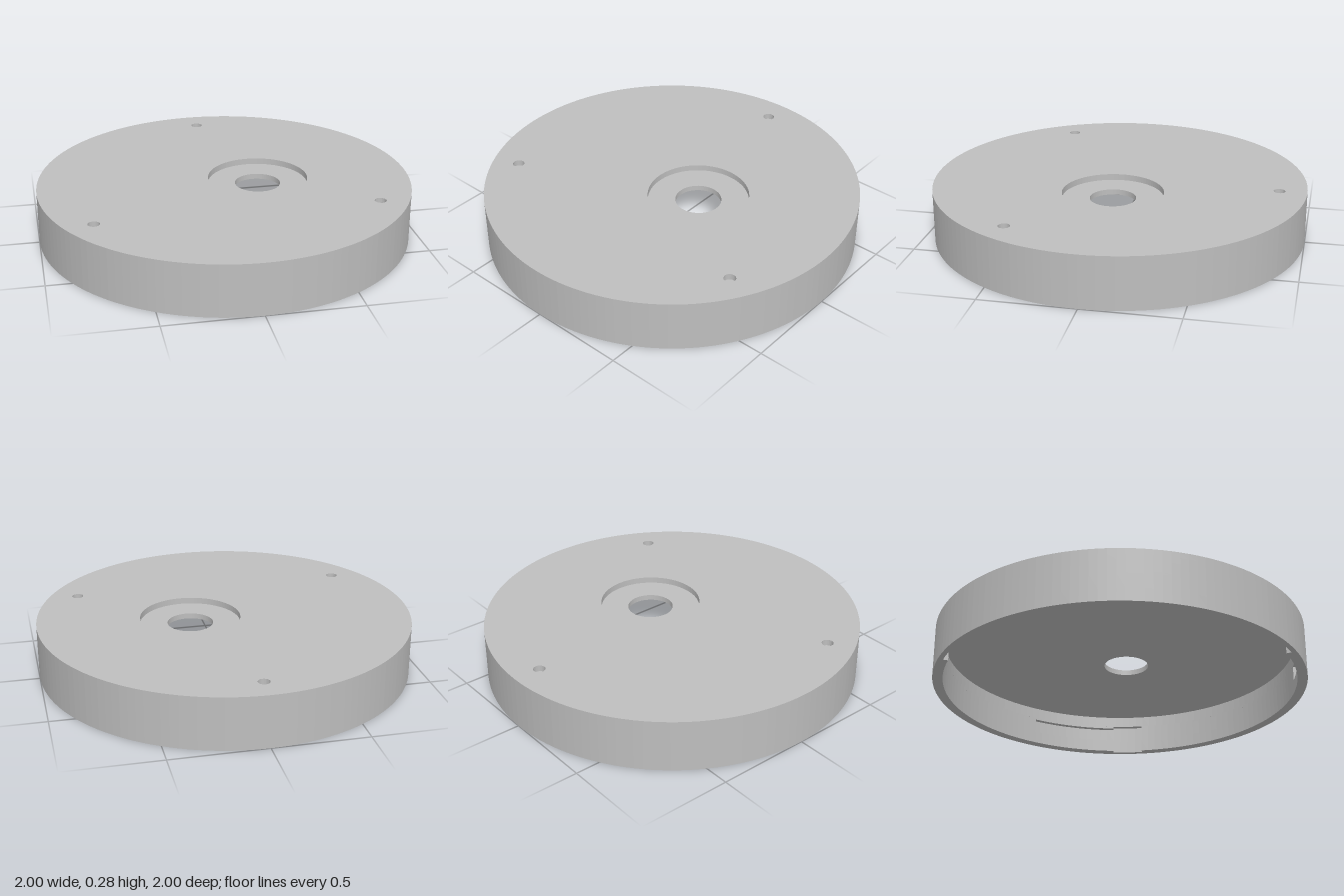
import * as THREE from 'three';

const OUTER = 1, INNER = 0.946, RECESS = 0.973;
const BORE_X = 0.185;
const rad = THREE.MathUtils.degToRad;

// Point on a circle; angle in degrees from +z towards +x, in the plan's own axes
const polar = (r, deg, cx = 0) => new THREE.Vector2(cx + r * Math.sin(rad(deg)), -r * Math.cos(rad(deg)));

// Points along an arc, both ends included
function arc(r, from, to, step = 2.5, cx = 0) {
  const n = Math.max(1, Math.round((to - from) / step));
  return Array.from({ length: n + 1 }, (_, i) => polar(r, from + ((to - from) * i) / n, cx));
}

const circle = (r, step = 2.5, cx = 0) => arc(r, 0, 360, step, cx).slice(0, -1);

// Inner outline of the wall, with three equal recesses between the given angles
function recessedOutline(from, to) {
  const pts = [];
  for (let k = 0; k < 3; k++) {
    const a = 120 * k;
    pts.push(...arc(RECESS, a + from, a + to), ...arc(INNER, a + to, a + from + 120));
  }
  return pts;
}

export function createModel() {
  const group = new THREE.Group();
  const grey = new THREE.MeshStandardMaterial({ color: 0xbebebe });
  grey.name = 'grey';

  // One horizontal layer of the cap: a disc with holes, from height y0 to y1
  function layer(name, y0, y1, holes) {
    const shape = new THREE.Shape(circle(OUTER));
    for (const pts of holes) shape.holes.push(new THREE.Path(pts));
    const geo = new THREE.ExtrudeGeometry(shape, { depth: y1 - y0, bevelEnabled: false });
    geo.rotateX(-Math.PI / 2);
    geo.translate(0, y0, 0);
    const mesh = new THREE.Mesh(geo, grey);
    mesh.name = name;
    group.add(mesh);
  }

  // Side wall, with L-shaped bayonet slots cut into its inner face
  const entry = [-27, -16.6], channel = [-27, 13.5];
  layer('wallSlotEntry', 0, 0.068, [recessedOutline(...entry)]);
  layer('wallSlotChannel', 0.068, 0.147, [recessedOutline(...channel)]);
  layer('wallSlotTop', 0.147, 0.158, [recessedOutline(...entry)]);
  layer('wallUpper', 0.158, 0.218, [circle(INNER)]);

  // Top plate: off-centre bore, wider counterbore and three blind screw holes
  const screwHoles = [60, 180, 300].map((deg) => {
    const c = polar(0.855, deg);
    return circle(0.031, 15).map((p) => p.add(c));
  });
  layer('plateWithBore', 0.218, 0.247, [circle(0.122, 5, BORE_X)]);
  layer('plateWithCounterbore', 0.247, 0.28, [circle(0.268, 4, BORE_X), ...screwHoles]);

  return group;
}
